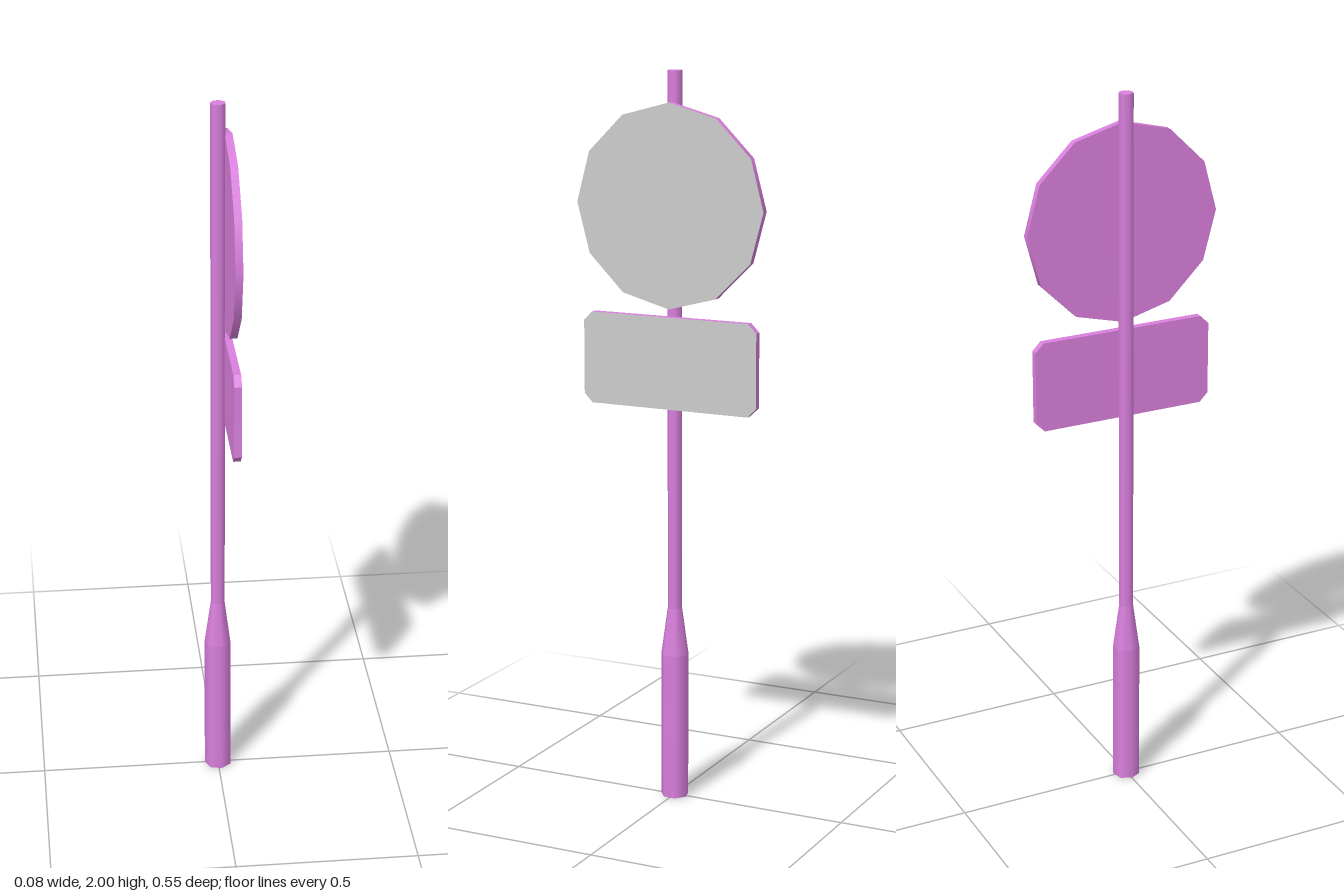
import * as THREE from 'three';

const purple = new THREE.MeshStandardMaterial({ color: 0xda80de });
const grey = new THREE.MeshStandardMaterial({ color: 0xcccccc });

const BACK = 0.017, THICK = 0.02; // sign panels sit on the +x side of the pole

export function createModel() {
  const group = new THREE.Group();
  const add = (name, geometry, material) => {
    const mesh = new THREE.Mesh(geometry, material);
    mesh.name = name;
    group.add(mesh);
    return mesh;
  };

  // Seven-sided pole: thick base, taper, thin shaft
  const poleSection = (name, rBottom, rTop, y0, y1, open) => {
    const g = new THREE.CylinderGeometry(rTop, rBottom, y1 - y0, 7, 1, open, -Math.PI / 2);
    add(name, g.translate(0, (y0 + y1) / 2, 0), purple);
  };
  poleSection('poleBase', 0.038, 0.038, 0, 0.41, false);
  poleSection('poleTaper', 0.038, 0.02, 0.41, 0.54, true);
  poleSection('poleShaft', 0.02, 0.02, 0.54, 2, false);

  // Twelve-sided round sign, grey face towards +x
  const disc = new THREE.CylinderGeometry(0.273, 0.273, THICK, 12);
  disc.rotateZ(-Math.PI / 2).translate(BACK + THICK / 2, 1.645, 0);
  add('roundSign', disc, [purple, grey, purple]);

  // Rectangular sign with clipped corners
  const w = 0.255, h = 0.125, c = 0.024;
  const outline = new THREE.Shape([
    [w - c, -h], [w, c - h], [w, h - c], [w - c, h],
    [c - w, h], [-w, h - c], [-w, c - h], [c - w, -h],
  ].map(([x, y]) => new THREE.Vector2(x, y)));
  const plate = new THREE.ExtrudeGeometry(outline, { depth: THICK, bevelEnabled: false });
  // The lids come first: back half, then front half
  const [lids, rim] = plate.groups.map((g) => g.count);
  plate.clearGroups();
  plate.addGroup(0, lids / 2, 0);
  plate.addGroup(lids / 2, lids / 2, 1);
  plate.addGroup(lids, rim, 0);
  plate.rotateY(Math.PI / 2).translate(BACK, 1.225, 0);
  add('rectangularSign', plate, [purple, grey]);

  return group;
}
